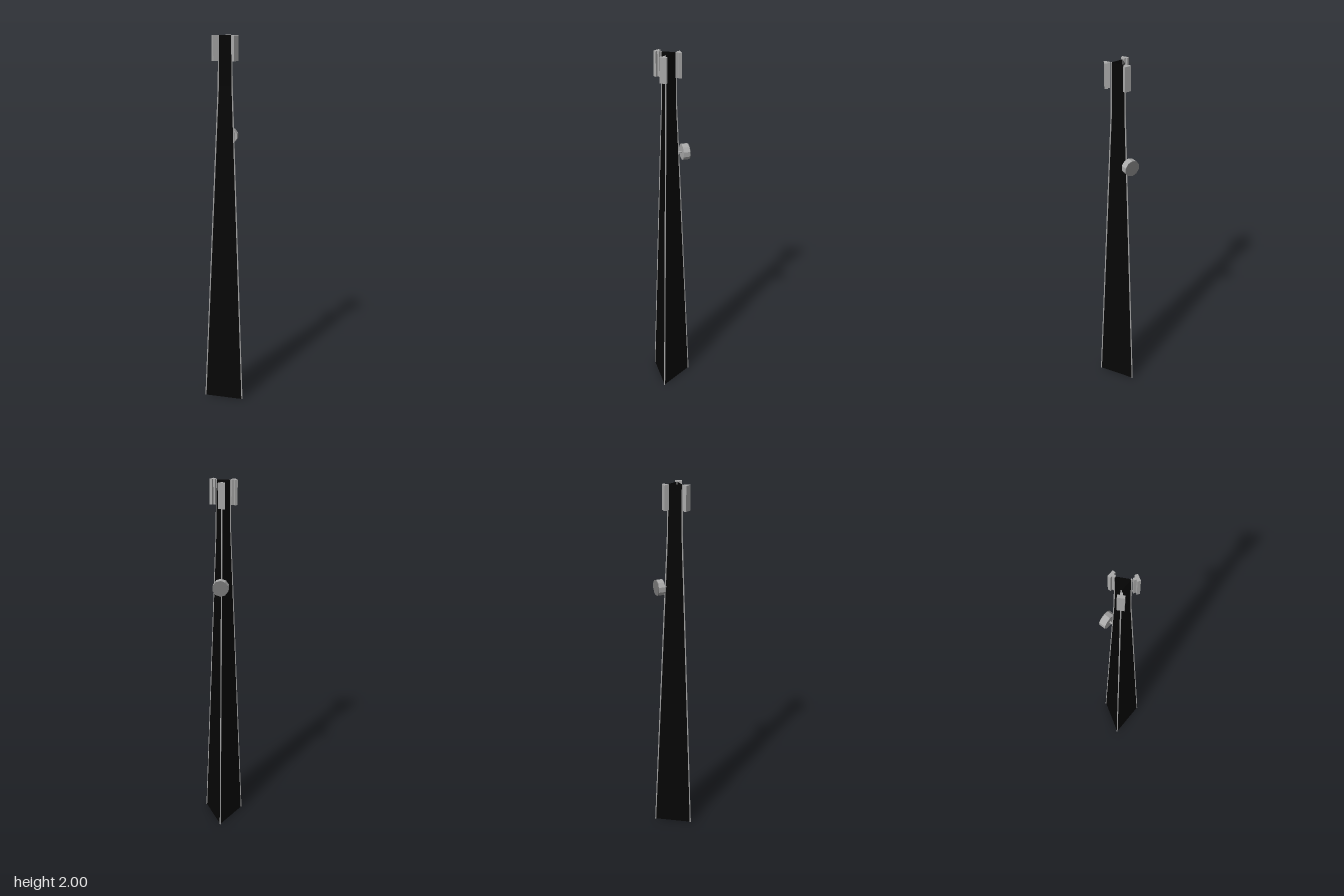
import * as THREE from 'three';

const material = (name, color, side = THREE.FrontSide) => {
  const m = new THREE.MeshStandardMaterial({ color, side });
  m.name = name;
  return m;
};

// Triangular cross-sections of the mast: height, half width, front z, back z
const SECTIONS = [
  [0, 0.106, 0.091, -0.091],
  [1.75, 0.036, 0.052, -0.012],
  [2, 0.034, 0.052, -0.01],
];
const corners = ([y, w, f, b]) => [
  new THREE.Vector3(-w, y, f),
  new THREE.Vector3(w, y, f),
  new THREE.Vector3(0, y, b),
];

export function createModel() {
  const black = material('black lattice', 0x060606, THREE.DoubleSide);
  const grey = material('light grey', 0xaaaaaa);
  const dark = material('dark grey', 0x787878);
  const model = new THREE.Group();
  model.name = 'latticeTower';

  const add = (parent, name, geometry, mat) => {
    const mesh = new THREE.Mesh(geometry, mat);
    mesh.name = name;
    parent.add(mesh);
    return mesh;
  };

  // Straight rod between two points
  const rod = (parent, name, a, b, radius, mat) => {
    const dir = b.clone().sub(a);
    const mesh = add(parent, name, new THREE.CylinderGeometry(radius, radius, dir.length(), 6), mat);
    mesh.position.copy(a).add(b).multiplyScalar(0.5);
    mesh.quaternion.setFromUnitVectors(new THREE.Vector3(0, 1, 0), dir.normalize());
  };

  // Three close-meshed walls, open at both ends, with a leg on each corner
  const mast = new THREE.Group();
  mast.name = 'mast';
  model.add(mast);
  const rings = SECTIONS.map(corners);
  const points = [];
  for (let s = 0; s < rings.length - 1; s++) {
    for (let i = 0; i < 3; i++) {
      const j = (i + 1) % 3;
      const [a, b, c, d] = [rings[s][i], rings[s][j], rings[s + 1][j], rings[s + 1][i]];
      points.push(a, b, c, a, c, d);
      rod(mast, 'leg', a, d, 0.0036, grey);
    }
  }
  const walls = new THREE.BufferGeometry().setFromPoints(points);
  walls.computeVertexNormals();
  add(mast, 'latticeWalls', walls, black);

  // One panel antenna facing outward at each corner of the top, with its mounting rail
  const panels = [
    [-0.055, 0.068, -Math.PI / 3],
    [0.055, 0.068, Math.PI / 3],
    [0, -0.027, Math.PI],
  ];
  for (const [x, z, angle] of panels) {
    const antenna = new THREE.Group();
    antenna.name = 'panelAntenna';
    antenna.position.set(x, 1.9375, z);
    antenna.rotation.y = angle;
    add(antenna, 'panel', new THREE.BoxGeometry(0.034, 0.125, 0.015), grey);
    const rail = add(antenna, 'mountingRail', new THREE.BoxGeometry(0.012, 0.125, 0.012), grey);
    rail.position.z = -0.0135;
    model.add(antenna);
  }

  // Drum dish on the back leg
  const dish = new THREE.Group();
  dish.name = 'dish';
  dish.position.set(0, 1.48, -0.057);
  const drum = add(dish, 'drum', new THREE.CylinderGeometry(0.042, 0.042, 0.034, 10).toNonIndexed(), grey);
  drum.geometry.computeVertexNormals();
  drum.rotation.x = Math.PI / 2;
  const cover = add(dish, 'dishCover', new THREE.CylinderGeometry(0.042, 0.042, 0.003, 10), dark);
  cover.rotation.x = Math.PI / 2;
  cover.position.z = -0.0175;
  rod(dish, 'dishArm', new THREE.Vector3(0, 0, 0.036), new THREE.Vector3(0, 0, 0.015), 0.006, grey);
  model.add(dish);

  return model;
}
